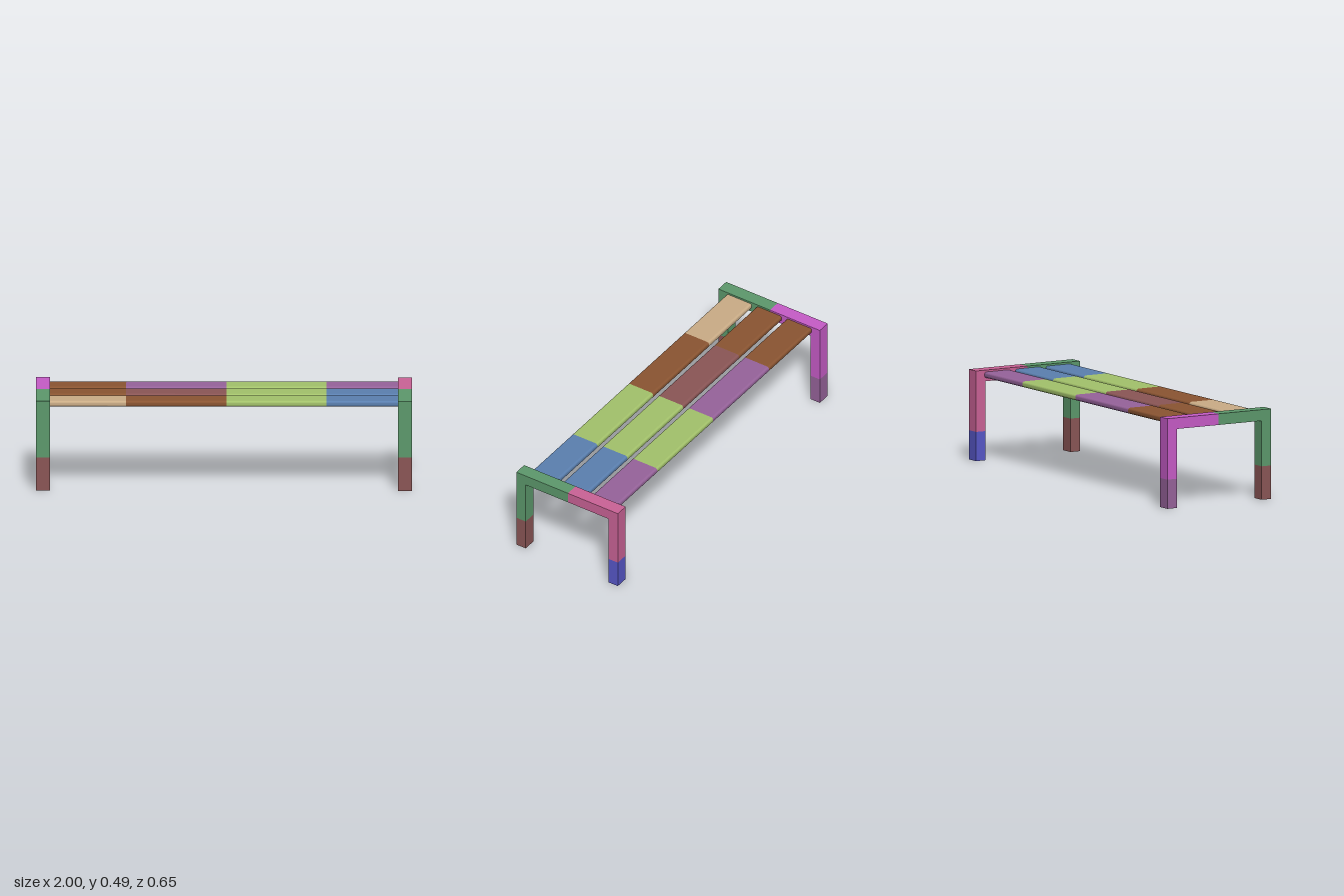
import * as THREE from 'three';

const paint = (name, color) =>
  new THREE.MeshStandardMaterial({ name, color, side: THREE.DoubleSide });

export function createModel() {
  const brown = paint('brown', 0x8b5532);
  const purple = paint('purple', 0x97639b);
  const lime = paint('lime', 0xa3c26b);
  const blue = paint('blue', 0x5b80b0);
  const maroon = paint('maroon', 0x8b5656);
  const tan = paint('tan', 0xcbad87);
  const green = paint('green', 0x5d996c);
  const pink = paint('pink', 0xcb6397);
  const magenta = paint('magenta', 0xc75cc8);
  const indigo = paint('indigo', 0x5858c9);

  const model = new THREE.Group();
  model.name = 'bench';

  const HALF_DEPTH = 0.325, HEIGHT = 0.485, BAR = 0.06, FRAME_W = 0.074;

  const add = (parent, name, geometry, material) => {
    const mesh = new THREE.Mesh(geometry, material);
    mesh.name = name;
    parent.add(mesh);
    return mesh;
  };

  // Extrudes a (z, y) outline along x, centred on x = 0
  const alongX = (shape, width) => {
    const g = new THREE.ExtrudeGeometry(shape, { depth: width, bevelEnabled: false, curveSegments: 4 });
    return g.translate(0, 0, -width / 2).rotateY(-Math.PI / 2);
  };

  // Half of an end frame: upper leg and half of the top rail (side = 1 front, -1 back)
  const halfFrame = (side, split, footTop) => alongX(new THREE.Shape([
    [split, HEIGHT], [side * HALF_DEPTH, HEIGHT], [side * HALF_DEPTH, footTop],
    [side * (HALF_DEPTH - BAR), footTop], [side * (HALF_DEPTH - BAR), HEIGHT - BAR], [split, HEIGHT - BAR],
  ].map(([z, y]) => new THREE.Vector2(z, y))), FRAME_W);

  // Hollow foot sleeve, open at top and bottom
  const foot = (side, top) => {
    const g = new THREE.BoxGeometry(FRAME_W, top, BAR);
    const index = Array.from(g.index.array);
    g.setIndex([...index.slice(0, 12), ...index.slice(24)]);
    g.clearGroups();
    return g.translate(0, top / 2, side * (HALF_DEPTH - BAR / 2));
  };

  // End frames
  const ends = [
    { name: 'leftFrame', x: 1, back: pink, backFoot: indigo },
    { name: 'rightFrame', x: -1, back: magenta, backFoot: purple },
  ];
  for (const { name, x, back, backFoot } of ends) {
    const frame = new THREE.Group();
    frame.name = name;
    frame.position.x = x * (1 - FRAME_W / 2);
    add(frame, 'frontHalf', halfFrame(1, -0.005, 0.18), green);
    add(frame, 'backHalf', halfFrame(-1, -0.005, 0.157), back);
    add(frame, 'frontFoot', foot(1, 0.18), maroon);
    add(frame, 'backFoot', foot(-1, 0.157), backFoot);
    model.add(frame);
  }

  // Slat cross-section with rounded edges
  const w = 0.08, h = 0.016, r = 0.012;
  const section = new THREE.Shape();
  section.moveTo(-w + r, -h).lineTo(w - r, -h);
  section.absarc(w - r, -h + r, r, -Math.PI / 2, 0);
  section.absarc(w - r, h - r, r, 0, Math.PI / 2);
  section.absarc(-w + r, h - r, r, Math.PI / 2, Math.PI);
  section.absarc(-w + r, -h + r, r, Math.PI, Math.PI * 1.5);

  // Seat slats, each in four coloured lengths
  const inner = 1 - FRAME_W;
  const cuts = [-inner, -0.52, 0.013, 0.545, inner];
  const slats = [
    { name: 'backSlat', z: -0.192, colours: [brown, purple, lime, purple] },
    { name: 'middleSlat', z: 0, colours: [brown, maroon, lime, blue] },
    { name: 'frontSlat', z: 0.192, colours: [tan, brown, lime, blue] },
  ];
  for (const { name, z, colours } of slats) {
    const slat = new THREE.Group();
    slat.name = name;
    slat.position.set(0, 0.459, z);
    colours.forEach((colour, i) => {
      const piece = add(slat, 'slatLength', alongX(section, cuts[i + 1] - cuts[i]), colour);
      piece.position.x = (cuts[i] + cuts[i + 1]) / 2;
    });
    model.add(slat);
  }

  return model;
}
